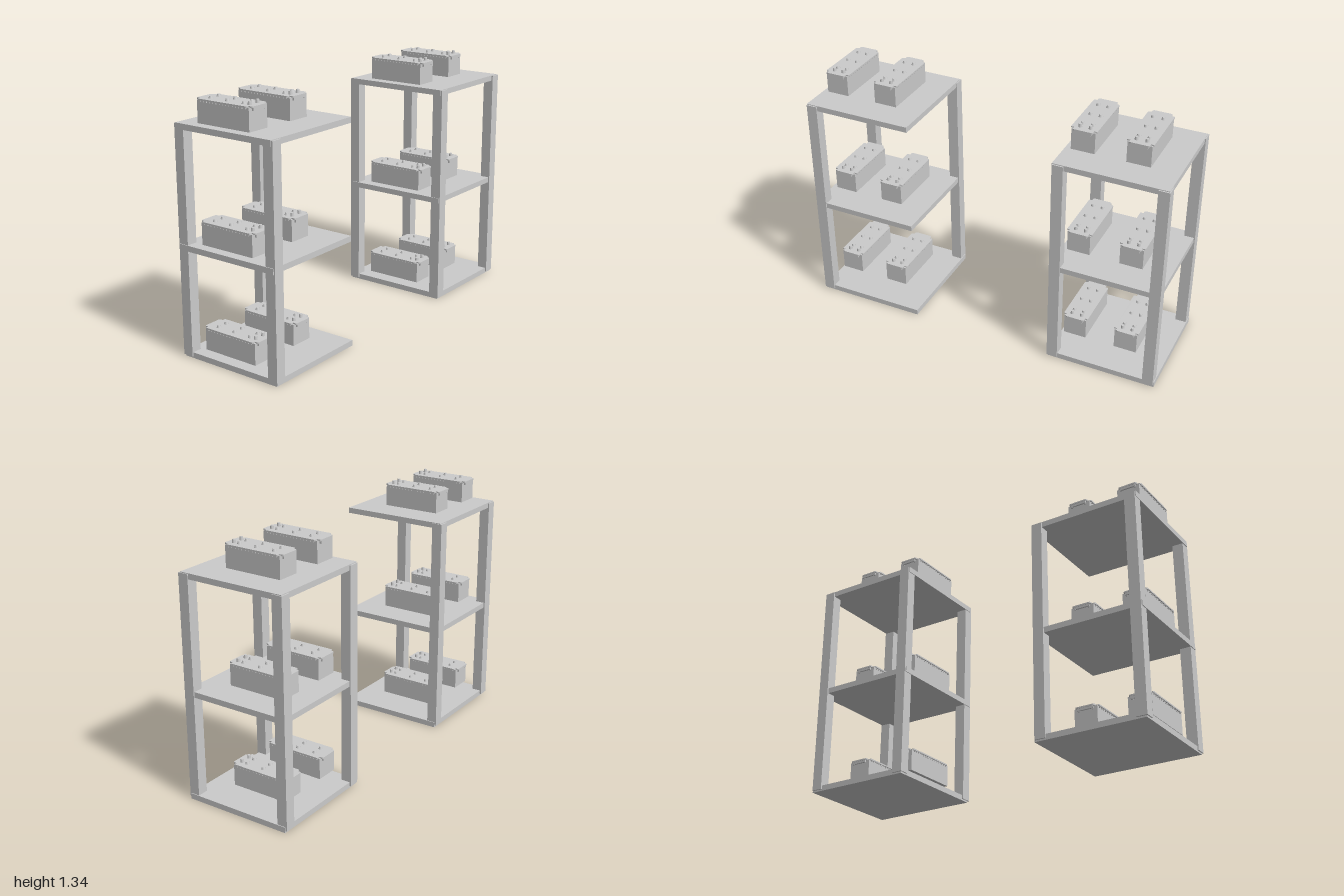
import * as THREE from 'three';

const material = new THREE.MeshStandardMaterial({ color: 0xcccccc });

function part(parent, name, geometry, x, y, z) {
  const mesh = new THREE.Mesh(geometry, material);
  mesh.name = name;
  mesh.position.set(x, y, z);
  parent.add(mesh);
  return mesh;
}

const box = (w, h, d) => new THREE.BoxGeometry(w, h, d);

// Lid outline with narrowed ends and rounded shoulders
function lidGeometry() {
  const w = 0.069, n = 0.052, d = 0.174, s = 0.152, r = 0.01;
  const shape = new THREE.Shape();
  shape.moveTo(-n + r, -d);
  shape.lineTo(n - r, -d);
  shape.quadraticCurveTo(n, -d, n, -d + r);
  shape.lineTo(n, -s);
  shape.lineTo(w - 0.004, -s);
  shape.lineTo(w, -s + 0.004);
  shape.lineTo(w, s - 0.004);
  shape.lineTo(w - 0.004, s);
  shape.lineTo(n, s);
  shape.lineTo(n, d - r);
  shape.quadraticCurveTo(n, d, n - r, d);
  shape.lineTo(-n + r, d);
  shape.quadraticCurveTo(-n, d, -n, d - r);
  shape.lineTo(-n, s);
  shape.lineTo(-w + 0.004, s);
  shape.lineTo(-w, s - 0.004);
  shape.lineTo(-w, -s + 0.004);
  shape.lineTo(-w + 0.004, -s);
  shape.lineTo(-n, -s);
  shape.lineTo(-n, -d + r);
  shape.quadraticCurveTo(-n, -d, -n + r, -d);
  const geo = new THREE.ExtrudeGeometry(shape, { depth: 0.008, bevelEnabled: false, curveSegments: 4 });
  return geo.rotateX(-Math.PI / 2);
}

// Battery block standing on its own y = 0
function createBattery() {
  const battery = new THREE.Group();
  battery.name = 'battery';
  part(battery, 'case', box(0.125, 0.114, 0.322), 0, 0.057, 0);
  part(battery, 'lid', lidGeometry(), 0, 0.112, 0);

  const cap = new THREE.CylinderGeometry(0.008, 0.012, 0.012, 12);
  const terminal = new THREE.CylinderGeometry(0.008, 0.01, 0.018, 12);
  const rib = box(0.005, 0.008, 0.005);
  for (const side of [-1, 1]) {
    // Filler caps and terminals in two rows
    for (const z of [-0.104, 0, 0.102]) part(battery, 'cap', cap, side * 0.027, 0.126, z);
    part(battery, 'terminal', terminal, side * 0.027, 0.128, 0.136);
    // Small ribs under the long lid edges
    for (let i = 0; i < 15; i++) part(battery, 'rib', rib, side * 0.064, 0.109, -0.14 + i * 0.02);
    // Grips under the lid ends
    part(battery, 'grip', box(0.088, 0.014, 0.008), 0, 0.107, side * 0.168);
    for (const x of [-0.038, 0.038]) {
      part(battery, 'gripBracket', box(0.008, 0.016, 0.012), x, 0.105, side * 0.164);
    }
  }
  return battery;
}

// Shelf levels: centre height, x shift and battery base height
const levels = [
  { name: 'bottomShelf', y: 0.015, shift: 0.005, base: 0.056 },
  { name: 'middleShelf', y: 0.58, shift: -0.005, base: 0.604 },
  { name: 'topShelf', y: 1.185, shift: -0.004, base: 1.206 },
];

// Open rack with three shelves and posts at the listed corners
function createRack(name, x, posts) {
  const rack = new THREE.Group();
  rack.name = name;
  rack.position.x = x;
  for (const { name: shelf, y, shift, base } of levels) {
    part(rack, shelf, box(0.595, 0.03, 0.595), shift, y, 0);
    for (const bx of [-0.205, 0.083]) {
      const battery = createBattery();
      battery.position.set(bx, base, -0.019);
      rack.add(battery);
    }
  }
  for (const [sx, sz] of posts) {
    part(rack, 'post', box(0.059, 1.187, 0.057), sx * 0.269, 0.6025, sz * 0.2765);
  }
  return rack;
}

export function createModel() {
  const model = new THREE.Group();
  model.name = 'batteryRacks';
  const corners = [[-1, 1], [-1, -1], [1, -1]];
  // The right rack is open at its inner front corner
  model.add(createRack('rightRack', -0.7, corners));
  model.add(createRack('leftRack', 0.695, [...corners, [1, 1]]));
  return model;
}
